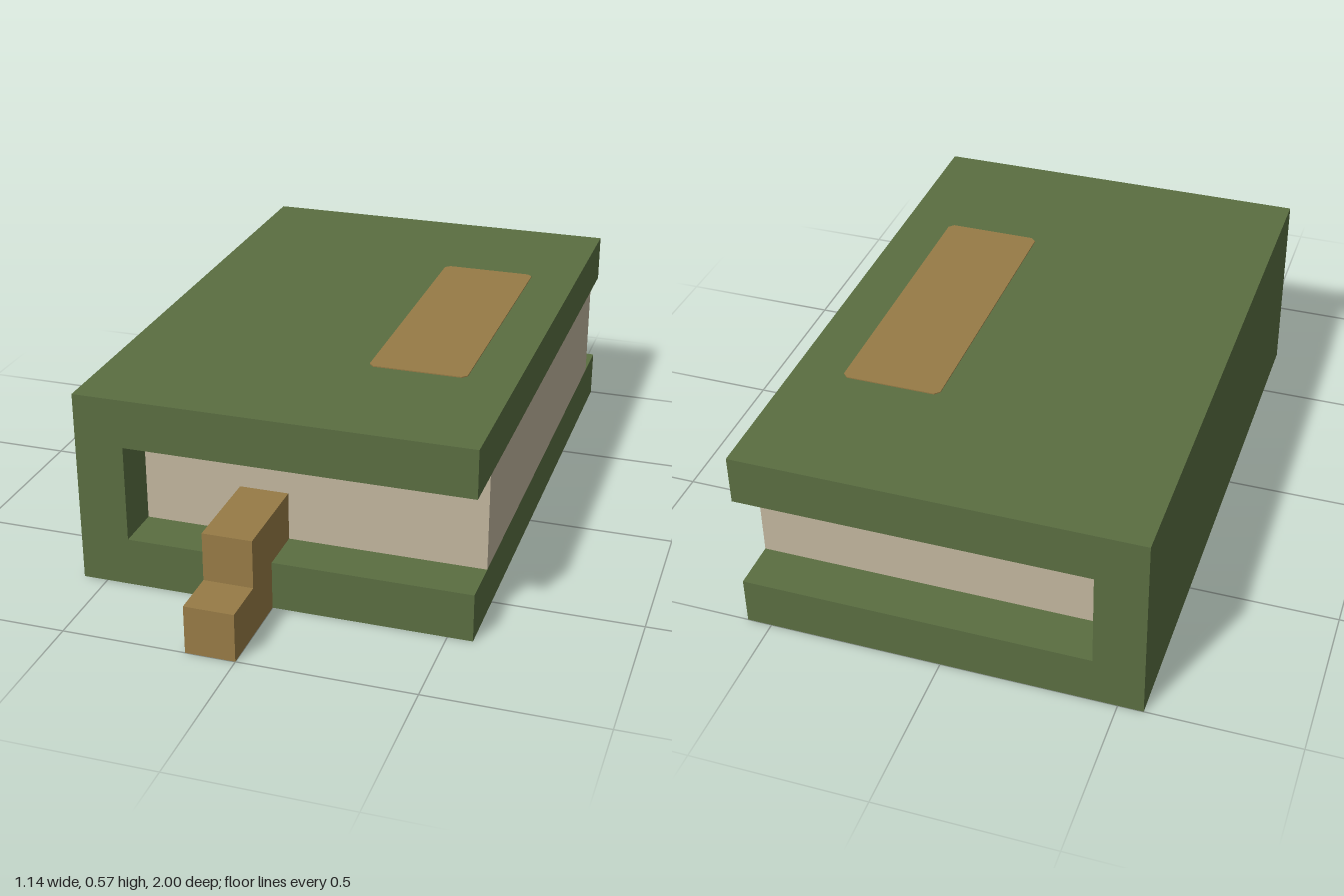
import * as THREE from 'three';

const U = 1 / 7; // block unit

export function createModel() {
  const model = new THREE.Group();
  model.name = 'book';

  const mat = (name, color) => {
    const m = new THREE.MeshStandardMaterial({ color });
    m.name = name;
    return m;
  };
  const green = mat('cover green', 0x5a6e41);
  const cream = mat('page cream', 0xc1b59e);
  const tan = mat('ribbon tan', 0x977b46);

  const add = (name, geometry, material) => {
    const mesh = new THREE.Mesh(geometry, material);
    mesh.name = name;
    model.add(mesh);
    return mesh;
  };
  // Box given by its minimum and maximum corners, in block units
  const box = (name, material, [x0, y0, z0], [x1, y1, z1]) => {
    const g = new THREE.BoxGeometry((x1 - x0) * U, (y1 - y0) * U, (z1 - z0) * U);
    g.translate((x0 + x1) / 2 * U, (y0 + y1) / 2 * U, (z0 + z1) / 2 * U);
    return add(name, g, material);
  };
  const outline = (points) =>
    new THREE.Shape(points.map(([x, y]) => new THREE.Vector2(x * U, y * U)));

  // C-shaped cover: two boards joined by the spine
  const coverShape = outline([
    [-4, 0], [4, 0], [4, 1], [-3, 1], [-3, 3], [4, 3], [4, 4], [-4, 4],
  ]);
  const cover = new THREE.ExtrudeGeometry(coverShape, { depth: 12 * U, bevelEnabled: false });
  cover.translate(0, 0, -7 * U);
  add('cover', cover, green);

  // Page block, recessed at head and tail
  box('pages', cream, [-3, 1, -6], [4, 3, 4]);

  // Stepped ribbon bookmark: side profile (z, y) extruded across its width
  const ribbonShape = outline([
    [4, 1], [5, 1], [5, 0], [7, 0], [7, 1], [6, 1], [6, 2], [4, 2],
  ]);
  const ribbon = new THREE.ExtrudeGeometry(ribbonShape, { depth: U, bevelEnabled: false });
  ribbon.rotateY(-Math.PI / 2);
  add('bookmark', ribbon, tan);

  // Title plate with clipped corners, lying on the upper board
  const c = 0.1;
  const plateShape = outline([
    [1 + c, -2], [3 - c, -2], [3, -2 + c], [3, 4 - c],
    [3 - c, 4], [1 + c, 4], [1, 4 - c], [1, -2 + c],
  ]);
  const plate = new THREE.ExtrudeGeometry(plateShape, { depth: 0.003, bevelEnabled: false });
  plate.rotateX(-Math.PI / 2);
  plate.translate(0, 4 * U, 0);
  add('titlePlate', plate, tan);

  return model;
}
